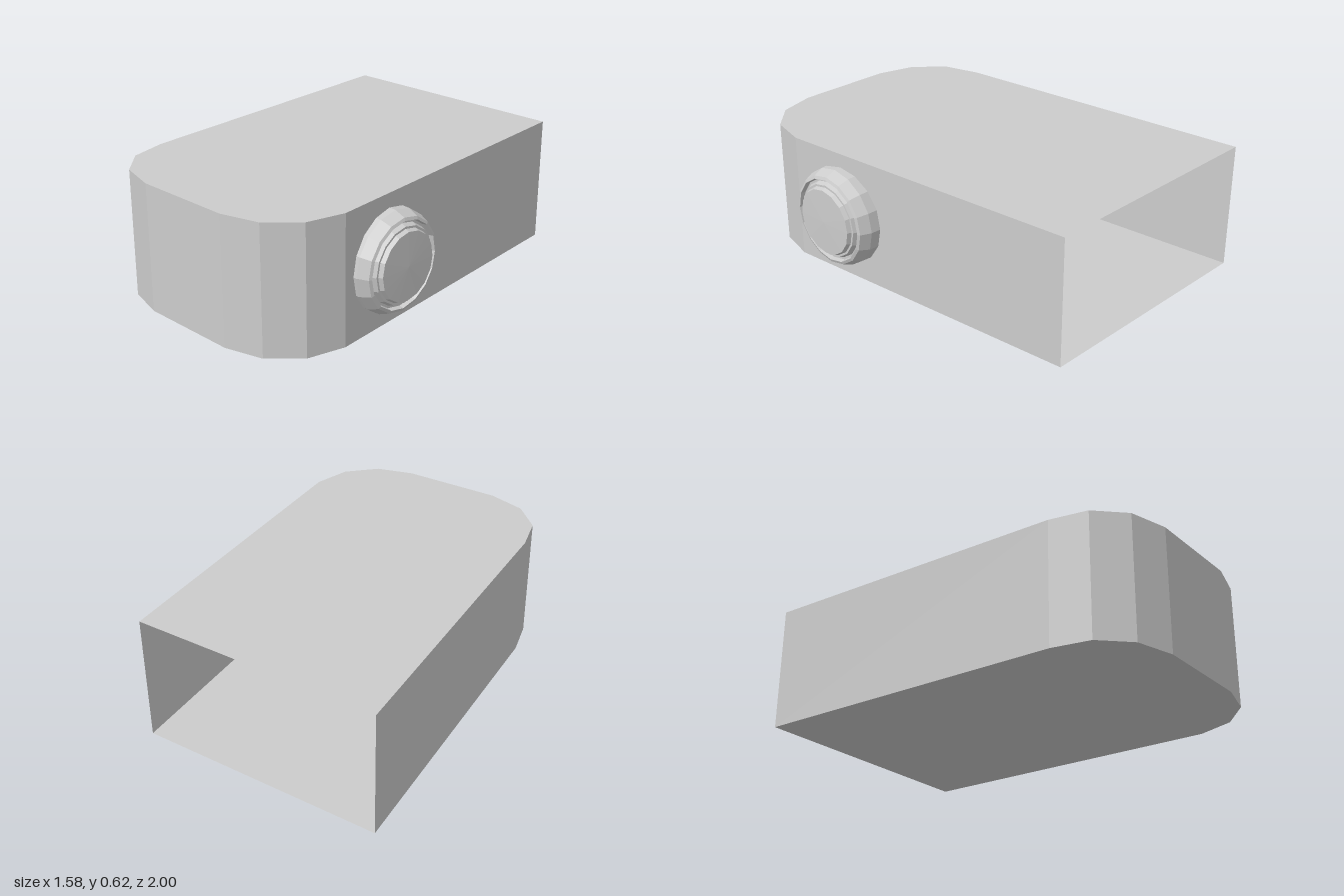
import * as THREE from 'three';

const HEIGHT = 0.625;

// Footprint (x, z), running from one end of the open back round the front to the other
const OUTLINE = [
  [-0.79, -0.887], [-0.52, 0.665], [-0.455, 0.845], [-0.31, 0.965], [-0.115, 1.0],
  [0.38, 0.953], [0.56, 0.885], [0.68, 0.742], [0.711, 0.555], [0.44, -1.0],
];

// Vertical strip of walls along the outline, left open at the back
function wallGeometry() {
  const pos = [];
  for (let i = 0; i < OUTLINE.length - 1; i++) {
    const [ax, az] = OUTLINE[i];
    const [bx, bz] = OUTLINE[i + 1];
    pos.push(ax, 0, az, bx, 0, bz, bx, HEIGHT, bz);
    pos.push(ax, 0, az, bx, HEIGHT, bz, ax, HEIGHT, az);
  }
  const geo = new THREE.BufferGeometry();
  geo.setAttribute('position', new THREE.Float32BufferAttribute(pos, 3));
  geo.computeVertexNormals();
  return geo;
}

// Flat plate in the footprint's shape, facing up (1) or down (-1)
function plateGeometry(facing) {
  const shape = new THREE.Shape(OUTLINE.map(([x, z]) => new THREE.Vector2(x, -facing * z)));
  return new THREE.ShapeGeometry(shape).rotateX(-facing * Math.PI / 2);
}

export function createModel() {
  const model = new THREE.Group();
  const grey = new THREE.MeshStandardMaterial({
    name: 'plain grey', color: 0xcccccc, flatShading: true, side: THREE.DoubleSide,
  });
  const add = (name, geo) => {
    const mesh = new THREE.Mesh(geo, grey);
    mesh.name = name;
    model.add(mesh);
    return mesh;
  };

  // Hollow shell
  add('walls', wallGeometry());
  add('topPlate', plateGeometry(1)).position.y = HEIGHT;
  add('bottomPlate', plateGeometry(-1));

  // Round knob with a grooved rim, set slightly askew on the left wall
  const profile = [
    [0.245, -0.02], [0.243, 0.03], [0.222, 0.082], [0.208, 0.088], [0.203, 0.066],
    [0.192, 0.066], [0.182, 0.09], [0.172, 0.09], [0.164, 0.11], [0, 0.114],
  ].map(([r, h]) => new THREE.Vector2(r, h));
  const knob = add('knob', new THREE.LatheGeometry(profile, 16).rotateZ(-Math.PI / 2));
  knob.position.set(0.664, 0.312, 0.262);
  knob.rotation.y = 0.1;

  return model;
}
